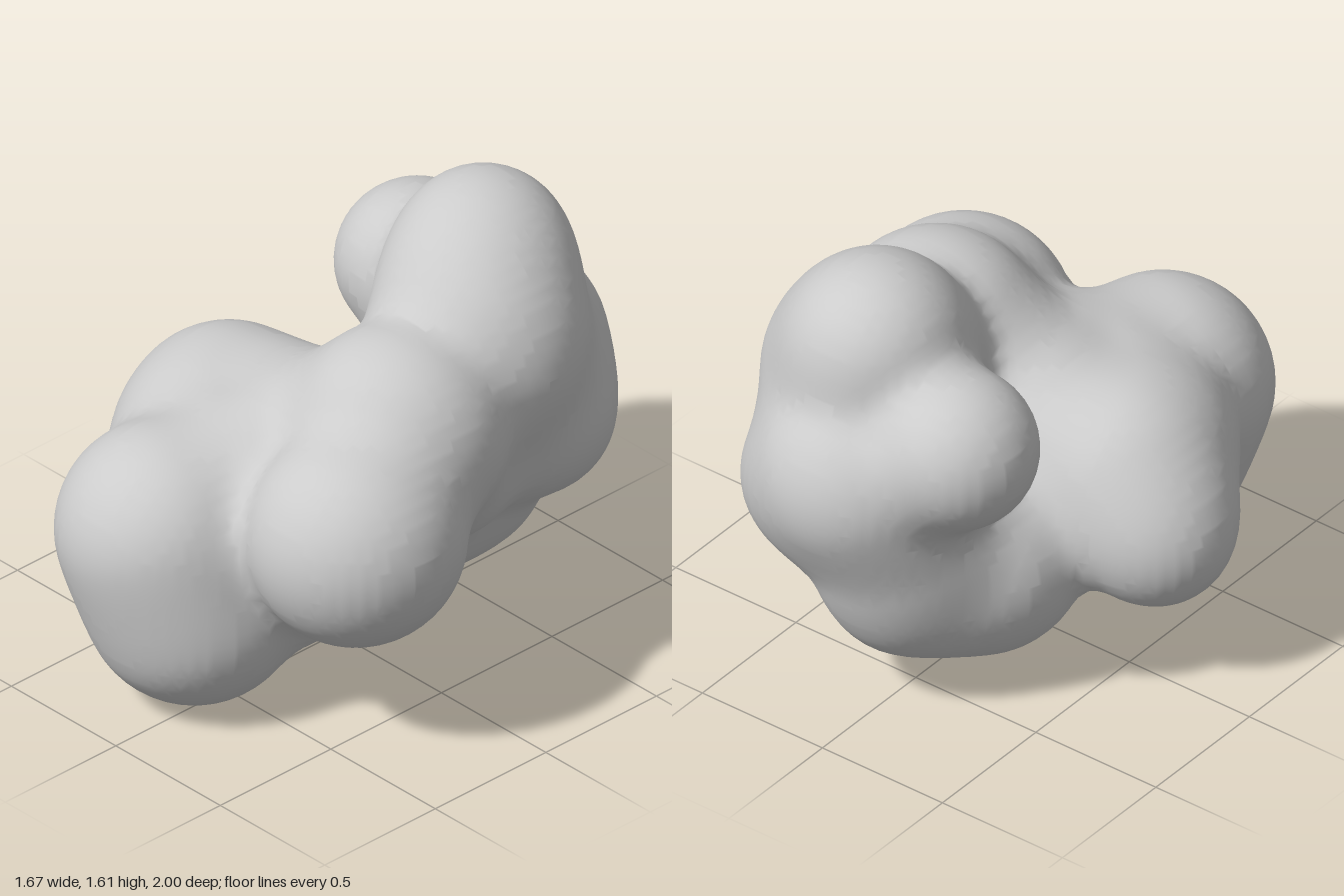
import * as THREE from 'three';

// Overlapping balls that make up the lumpy body: x, y, z, radius
const BALLS = [
  [0.46, 0.75, 0.35, 0.37],    // front left lobe
  [-0.08, 0.37, 0.57, 0.37],   // front foot
  [-0.15, 0.62, 0.63, 0.37],   // front nose
  [-0.57, 0.56, 0.05, 0.27],   // right side tip
  [-0.39, 0.67, 0.12, 0.36],   // right side lobe
  [-0.34, 0.68, 0.3, 0.29],    // right cheek
  [0.09, 0.55, 0.25, 0.36],    // lower core
  [-0.05, 0.69, 0.33, 0.34],   // middle core
  [-0.13, 0.73, 0.05, 0.3],    // right core
  [0.07, 0.8, 0.1, 0.31],      // upper core
  [0.32, 0.95, 0.02, 0.37],    // upper shoulder
  [0.21, 0.73, -0.22, 0.32],   // rear core
  [-0.08, 0.45, -0.27, 0.37],  // rear foot
  [0.02, 0.46, -0.5, 0.31],    // rear foot heel
  [0.03, 0.66, -0.54, 0.33],   // rear shank
  [0.1, 0.9, -0.63, 0.37],     // back lobe
  [0.28, 0.76, -0.59, 0.3],    // back left lobe
  [0.26, 1.07, -0.41, 0.36],   // neck
  [0.21, 1.2, -0.43, 0.33],    // upper neck
  [0.14, 1.32, -0.53, 0.295],  // top lobe
  [-0.24, 1.09, -0.59, 0.275], // small side lobe
];
const BLEND = 0.11;

// Signed distance to the blended balls
function distance(x, y, z) {
  let d = Infinity;
  for (const [bx, by, bz, r] of BALLS) {
    const e = Math.hypot(x - bx, y - by, z - bz) - r;
    const h = Math.max(BLEND - Math.abs(d - e), 0);
    d = Math.min(d, e) - (h * h) / (4 * BLEND);
  }
  return d;
}

function gradient(x, y, z) {
  const e = 0.002;
  return new THREE.Vector3(
    distance(x + e, y, z) - distance(x - e, y, z),
    distance(x, y + e, z) - distance(x, y - e, z),
    distance(x, y, z + e) - distance(x, y, z - e)
  ).divideScalar(2 * e);
}

// Surface mesh: one vertex per crossed grid cell, one quad per crossed grid edge
function blobGeometry(cell) {
  const origin = [-1.1, -0.2, -1.2];
  const n = [2.2, 2.0, 2.4].map((s) => Math.ceil(s / cell));
  const step = [1, n[0], n[0] * n[1]];
  const index = (i, j, k) => i + j * step[1] + k * step[2];
  const at = (i, j, k) => [origin[0] + i * cell, origin[1] + j * cell, origin[2] + k * cell];
  const field = new Float32Array(n[0] * n[1] * n[2]);
  const vertex = new Int32Array(field.length).fill(-1);
  const positions = [];
  const faces = [];

  const eachCell = (start, visit) => {
    for (let k = start; k < n[2] - 1; k++)
      for (let j = start; j < n[1] - 1; j++)
        for (let i = start; i < n[0] - 1; i++) visit(i, j, k, index(i, j, k));
  };

  for (let k = 0; k < n[2]; k++)
    for (let j = 0; j < n[1]; j++)
      for (let i = 0; i < n[0]; i++) field[index(i, j, k)] = distance(...at(i, j, k));

  // Place the vertices and pull them onto the surface
  eachCell(0, (i, j, k, id) => {
    let inside = 0;
    for (let c = 0; c < 8; c++) {
      if (field[id + (c & 1) + ((c >> 1) & 1) * step[1] + (c >> 2) * step[2]] < 0) inside++;
    }
    if (inside === 0 || inside === 8) return;
    const p = new THREE.Vector3(...at(i + 0.5, j + 0.5, k + 0.5));
    for (let s = 0; s < 4; s++) {
      const g = gradient(p.x, p.y, p.z);
      const d = distance(p.x, p.y, p.z) / Math.max(g.lengthSq(), 0.3);
      p.addScaledVector(g, -d);
    }
    vertex[id] = positions.length / 3;
    positions.push(p.x, p.y, p.z);
  });

  // Join neighbouring vertices, facing outwards
  eachCell(1, (i, j, k, id) => {
    for (let a = 0; a < 3; a++) {
      const here = field[id] < 0;
      if (here === field[id + step[a]] < 0) continue;
      const b = step[(a + 1) % 3];
      const c = step[(a + 2) % 3];
      const q = [id - b - c, id - c, id, id - b].map((v) => vertex[v]);
      if (!here) q.reverse();
      faces.push(q[0], q[1], q[2], q[0], q[2], q[3]);
    }
  });

  const geometry = new THREE.BufferGeometry();
  geometry.setAttribute('position', new THREE.Float32BufferAttribute(positions, 3));
  geometry.setIndex(faces);
  geometry.computeVertexNormals();
  return geometry;
}

export function createModel() {
  const group = new THREE.Group();
  const material = new THREE.MeshStandardMaterial({ color: 0xcccccc });
  const body = new THREE.Mesh(blobGeometry(0.04), material);
  body.name = 'lobedBody';
  group.add(body);
  return group;
}
